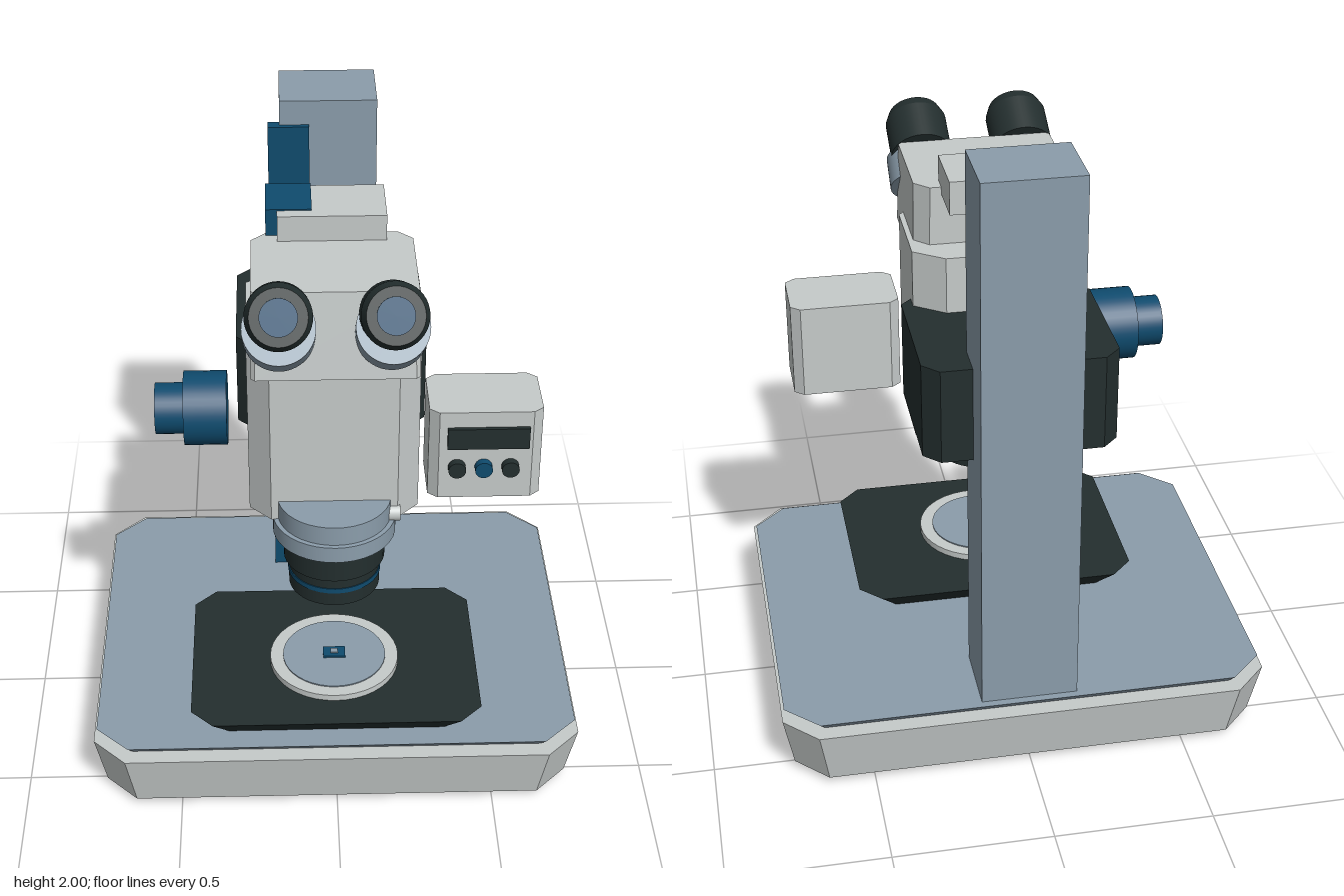
import * as THREE from 'three';

const paint = (name, color) => Object.assign(new THREE.MeshStandardMaterial({ color }), { name });

// Chamfered rectangle in plan; cf / cb are the front and back corner cuts as [x, z]
function plan(x0, x1, z0, z1, cf, cb = cf) {
  const [fx, fz] = cf, [bx, bz] = cb;
  return [
    [x0, z1 - fz], [x0 + fx, z1], [x1 - fx, z1], [x1, z1 - fz],
    [x1, z0 + bz], [x1 - bx, z0], [x0 + bx, z0], [x0, z0 + bz],
  ];
}

// Solid between a lower and an upper plan outline
function loft(lower, y0, upper, y1) {
  const pos = [], n = lower.length;
  const a = lower.map(([x, z]) => [x, y0, z]);
  const b = upper.map(([x, z]) => [x, y1, z]);
  const tri = (...p) => p.forEach((v) => pos.push(...v));
  for (let i = 0; i < n; i++) {
    const j = (i + 1) % n;
    tri(a[i], a[j], b[j]);
    tri(a[i], b[j], b[i]);
    if (i > 0 && i < n - 1) {
      tri(b[0], b[i], b[i + 1]);
      tri(a[0], a[i + 1], a[i]);
    }
  }
  const g = new THREE.BufferGeometry();
  g.setAttribute('position', new THREE.Float32BufferAttribute(pos, 3));
  g.computeVertexNormals();
  return g;
}

export function createModel() {
  const light = paint('light grey', 0xc6cbca);
  const slate = paint('slate blue', 0x8b9dab);
  const dark = paint('charcoal', 0x232e2e);
  const blue = paint('deep blue', 0x0f4b6e);
  const model = new THREE.Group();
  model.name = 'stereoMicroscope';

  const add = (name, geo, mat, parent = model) => {
    const m = new THREE.Mesh(geo, mat);
    m.name = name;
    parent.add(m);
    return m;
  };
  // Box given by its limits on each axis
  const box = (name, mat, x0, x1, y0, y1, z0, z1) => {
    const m = add(name, new THREE.BoxGeometry(x1 - x0, y1 - y0, z1 - z0), mat);
    m.position.set((x0 + x1) / 2, (y0 + y1) / 2, (z0 + z1) / 2);
    return m;
  };
  const prism = (name, mat, y0, y1, outline, upper = outline) =>
    add(name, loft(outline, y0, upper, y1), mat);
  // Round section from a start point along a direction
  const up = new THREE.Vector3(0, 1, 0);
  const round = (name, mat, start, dir, t0, t1, r0, r1 = r0) => {
    const d = new THREE.Vector3(...dir).normalize();
    const m = add(name, new THREE.CylinderGeometry(r1, r0, t1 - t0, 40), mat);
    m.quaternion.setFromUnitVectors(up, d);
    m.position.set(...start).addScaledVector(d, (t0 + t1) / 2);
    return m;
  };

  // Base, its top plate and feet
  prism('base', light, 0.025, 0.207,
    plan(-0.745, 0.745, -0.635, 0.635, [0.1, 0.1]), plan(-0.778, 0.778, -0.667, 0.667, [0.105, 0.105]));
  prism('baseTopPlate', slate, 0.207, 0.23,
    plan(-0.75, 0.75, -0.612, 0.612, [0.1, 0.1]), plan(-0.77, 0.77, -0.63, 0.63, [0.105, 0.1]));
  for (const sx of [-1, 1]) for (const sz of [-1, 1]) {
    box('foot', dark, sx * 0.637 - 0.058, sx * 0.637 + 0.058, 0, 0.026, sz * 0.4 - 0.065, sz * 0.4 + 0.065);
  }

  // Column, guide rail and cable clips
  box('column', slate, -0.153, 0.153, 0.23, 2, -0.605, -0.363);
  box('guideRail', blue, -0.19, -0.06, 0.23, 1.92, -0.385, -0.345);
  for (let i = 0; i < 4; i++) {
    const y = 0.51 + i * 0.28;
    box('cableClip', light, 0.07, 0.1, y, y + 0.14, -0.365, -0.325);
  }

  // Stage with specimen disc
  prism('stage', dark, 0.23, 0.297,
    plan(-0.405, 0.405, -0.035, 0.55, [0.06, 0.06]), plan(-0.465, 0.465, -0.092, 0.602, [0.07, 0.07]));
  round('stageRing', light, [0, 0.297, 0.28], [0, 1, 0], 0, 0.021, 0.21);
  round('stageDisc', slate, [0, 0.297, 0.28], [0, 1, 0], 0, 0.025, 0.168);
  box('specimen', blue, -0.036, 0.036, 0.32, 0.329, 0.255, 0.305);
  box('specimenChip', slate, -0.012, 0.012, 0.327, 0.334, 0.27, 0.29);

  // Focus carrier and main body
  prism('focusCarrier', dark, 1.045, 1.355, plan(-0.3, 0.3, -0.475, 0.02, [0.045, 0.045], [0.05, 0.05]));
  prism('body', light, 0.888, 1.54, plan(-0.265, 0.265, -0.107, 0.31, [0.068, 0.07], [0.095, 0.068]));
  prism('bodyFoot', light, 0.875, 0.9, plan(-0.235, 0.235, -0.05, 0.26, [0.05, 0.05]));

  // Binocular head and top module
  prism('head', light, 1.457, 1.73,
    plan(-0.25, 0.25, 0, 0.41, [0.012, 0.012], [0.045, 0.045]),
    plan(-0.245, 0.245, 0, 0.372, [0.012, 0.012], [0.045, 0.045]));
  box('topModule', light, -0.165, 0.165, 1.705, 1.812, -0.155, 0.055);
  box('topModuleCap', blue, -0.2, -0.06, 1.71, 1.816, -0.162, 0.015);

  // Eyepieces
  for (const s of [-1, 1]) {
    const x = s * 0.165;
    round('eyepieceSocket', slate, [x, 1.583, 0.36], [0, 0.64, 0.77], 0, 0.105, 0.108);
    const tip = [x, 1.672, 0.4], axis = [0, 0.46, 0.888];
    round('eyepieceBarrel', dark, tip, axis, 0, 0.135, 0.098);
    round('eyecup', dark, tip, axis, 0.135, 0.17, 0.098, 0.084);
    round('eyeLens', blue, tip, axis, 0.168, 0.174, 0.055);
  }

  // Objective rings, stacked downward
  const lens = [0, 0, 0.278];
  [
    ['objectiveMount', slate, 0.88, 0.955, 0.178],
    ['objectiveCollar', slate, 0.835, 0.89, 0.193],
    ['objectiveBarrel', dark, 0.738, 0.836, 0.16],
    ['objectiveTip', dark, 0.632, 0.74, 0.144],
    ['objectiveBand', blue, 0.68, 0.697, 0.147],
  ].forEach(([name, mat, y0, y1, r]) => round(name, mat, lens, [0, 1, 0], y0, y1, r));
  round('clampScrew', light, [0.15, 0.905, 0.305], [1, 0, 0], 0, 0.055, 0.027);

  // Focus knob on the right side
  const knob = [0, 1.165, 0.088];
  round('coarseKnob', blue, knob, [-1, 0, 0], 0.33, 0.465, 0.117);
  round('fineKnob', blue, knob, [-1, 0, 0], 0.465, 0.555, 0.081);

  // Control box with display and buttons
  prism('controlBox', light, 0.985, 1.293, plan(0.287, 0.633, 0.117, 0.343, [0.03, 0.025]));
  box('display', dark, 0.342, 0.592, 1.168, 1.24, 0.34, 0.356);
  [dark, blue, dark].forEach((mat, i) =>
    round('button', mat, [0.373 + i * 0.082, 1.098, 0.34], [0, 0, 1], 0, 0.028, 0.027));

  return model;
}
